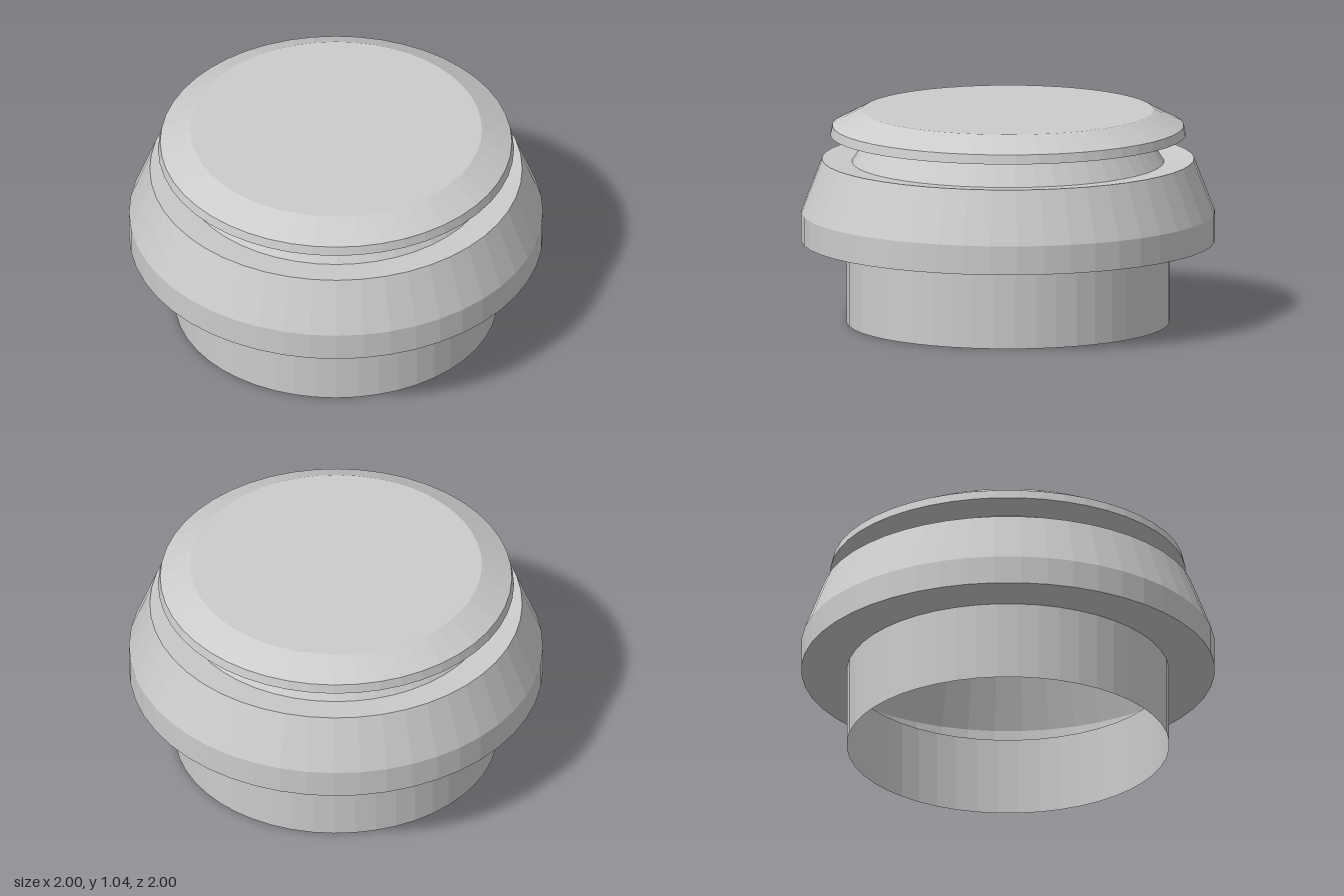
import * as THREE from 'three';

const SEGMENTS = 48;

export function createModel() {
  const model = new THREE.Group();
  model.name = 'ventCap';
  const material = new THREE.MeshStandardMaterial({
    color: 0xcccccc, flatShading: true, side: THREE.DoubleSide,
  });

  // Thin turned shell from [radius, height] pairs, listed bottom to top
  const addShell = (name, profile) => {
    const points = profile.map(([r, y]) => new THREE.Vector2(r, y));
    const mesh = new THREE.Mesh(new THREE.LatheGeometry(points, SEGMENTS), material);
    mesh.name = name;
    model.add(mesh);
  };

  // Open pipe at the bottom
  addShell('pipe', [[0.78, 0], [0.78, 0.39]]);

  // Wide hollow collar with slightly dished underside and shoulder
  addShell('collar', [[0.78, 0.39], [1, 0.4], [1, 0.54], [0.9, 0.8], [0.755, 0.787]]);

  // Tapered neck between collar and lid
  addShell('neck', [[0.755, 0.787], [0.68, 0.905]]);

  // Overhanging bevelled lid, closed on top
  addShell('lid', [[0.68, 0.905], [0.86, 0.918], [0.85, 0.963], [0.705, 1.038], [0, 1.038]]);

  return model;
}
